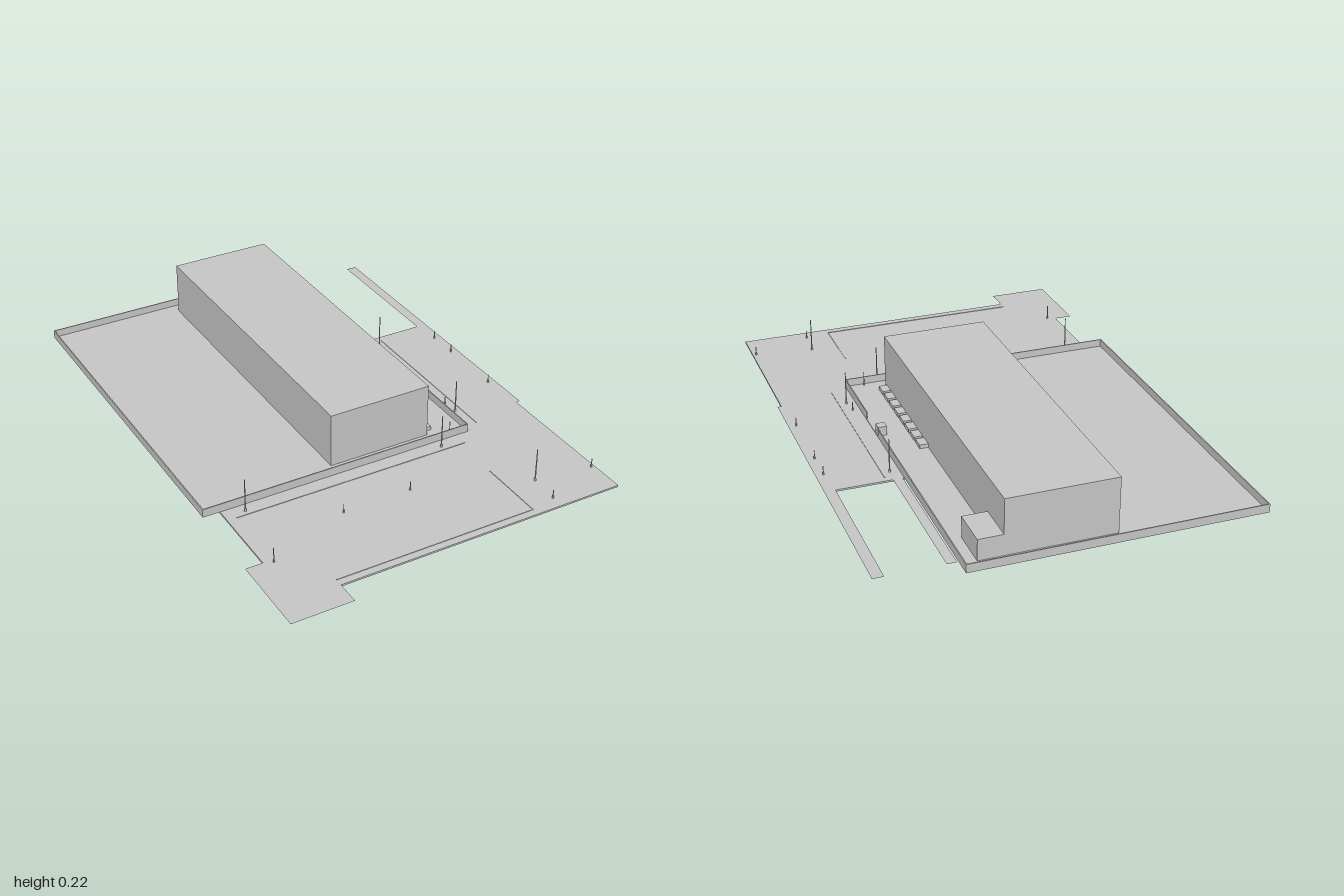
import * as THREE from 'three';

export function createModel() {
  const model = new THREE.Group();
  const grey = new THREE.MeshStandardMaterial({ color: 0xc4c4c4, side: THREE.DoubleSide });
  grey.name = 'light grey';

  const add = (name, geometry) => {
    const mesh = new THREE.Mesh(geometry, grey);
    mesh.name = name;
    model.add(mesh);
    return mesh;
  };
  // Box given by its limits on each axis
  const block = (name, x0, x1, y0, y1, z0, z1) =>
    add(name, new THREE.BoxGeometry(x1 - x0, y1 - y0, z1 - z0))
      .position.set((x0 + x1) / 2, (y0 + y1) / 2, (z0 + z1) / 2);
  // Flat paving sheet
  const sheet = (name, x0, x1, y, z0, z1) =>
    add(name, new THREE.PlaneGeometry(x1 - x0, z1 - z0).rotateX(-Math.PI / 2))
      .position.set((x0 + x1) / 2, y, (z0 + z1) / 2);

  // Ground and paving
  block('groundSlab', -0.615, 0.66, 0, 0.007, -0.365, 0.91);
  sheet('cornerPad', -0.68, -0.45, 0.008, 0.69, 1);
  sheet('outerPath', 0.635, 0.675, 0.008, -0.93, 0.3);
  sheet('innerPath', 0.395, 0.43, 0.008, -0.93, 0.36);

  // Yard floor and the low wall around it, with a gate gap on the +x side
  const t = 0.004, wallTop = 0.04;
  block('yardFloor', -0.68, 0.39, 0.008, 0.011, -1, 0.375);
  block('backWall', -0.68, 0.39, 0.011, wallTop, -1, -1 + t);
  block('frontWall', -0.68, 0.39, 0.011, wallTop, 0.375 - t, 0.375);
  block('rightWall', -0.68, -0.68 + t, 0.011, wallTop, -1 + t, 0.375 - t);
  block('leftWallFront', 0.39 - t, 0.39, 0.011, wallTop, 0.09, 0.375 - t);
  block('leftWallBack', 0.39 - t, 0.39, 0.011, wallTop, -1 + t, -0.055);

  // Buildings
  block('mainHall', -0.155, 0.245, 0.011, 0.22, -0.95, 0.325);
  block('annex', 0.245, 0.335, 0.011, 0.09, -0.95, -0.8);
  block('gatehouse', 0.355, 0.388, 0.011, 0.046, -0.055, -0.02);
  for (let i = 0; i < 8; i++) {
    const z = -0.195 + i * 0.064;
    block('loadingDock', 0.245, 0.277, 0.011, 0.026, z, z + 0.05);
  }

  // Thin kerbs along the drive
  const kerb = (x0, x1, z0, z1) => block('kerb', x0, x1, 0.007, 0.009, z0, z1);
  kerb(-0.45, 0.32, 0.878, 0.882);
  kerb(0.318, 0.322, 0.62, 0.88);
  kerb(-0.58, 0.34, 0.428, 0.432);
  kerb(0.45, 0.454, -0.34, 0.34);

  // Lamp posts and bollards as [x, z]
  const posts = (name, height, radius, places) => {
    for (const [x, z] of places) {
      add(name, new THREE.CylinderGeometry(radius * 0.7, radius, height, 8))
        .position.set(x, 0.007 + height / 2, z);
      add(name + 'Base', new THREE.CylinderGeometry(radius * 1.2, radius * 1.8, 0.012, 8))
        .position.set(x, 0.013, z);
    }
  };
  posts('tallLamp', 0.13, 0.0025, [
    [-0.537, 0.41], [0.253, 0.41], [0.425, 0.745], [0.425, 0.238], [0.425, -0.31]]);
  posts('signPost', 0.058, 0.002, [[-0.582, 0.703], [0.32, 0.36]]);
  posts('bollard', 0.034, 0.002, [
    [-0.25, 0.58], [0.015, 0.58], [0.417, 0.86], [0.646, 0.775],
    [0.646, 0.13], [0.646, -0.13], [0.646, -0.25], [0.417, 0.18]]);

  return model;
}
